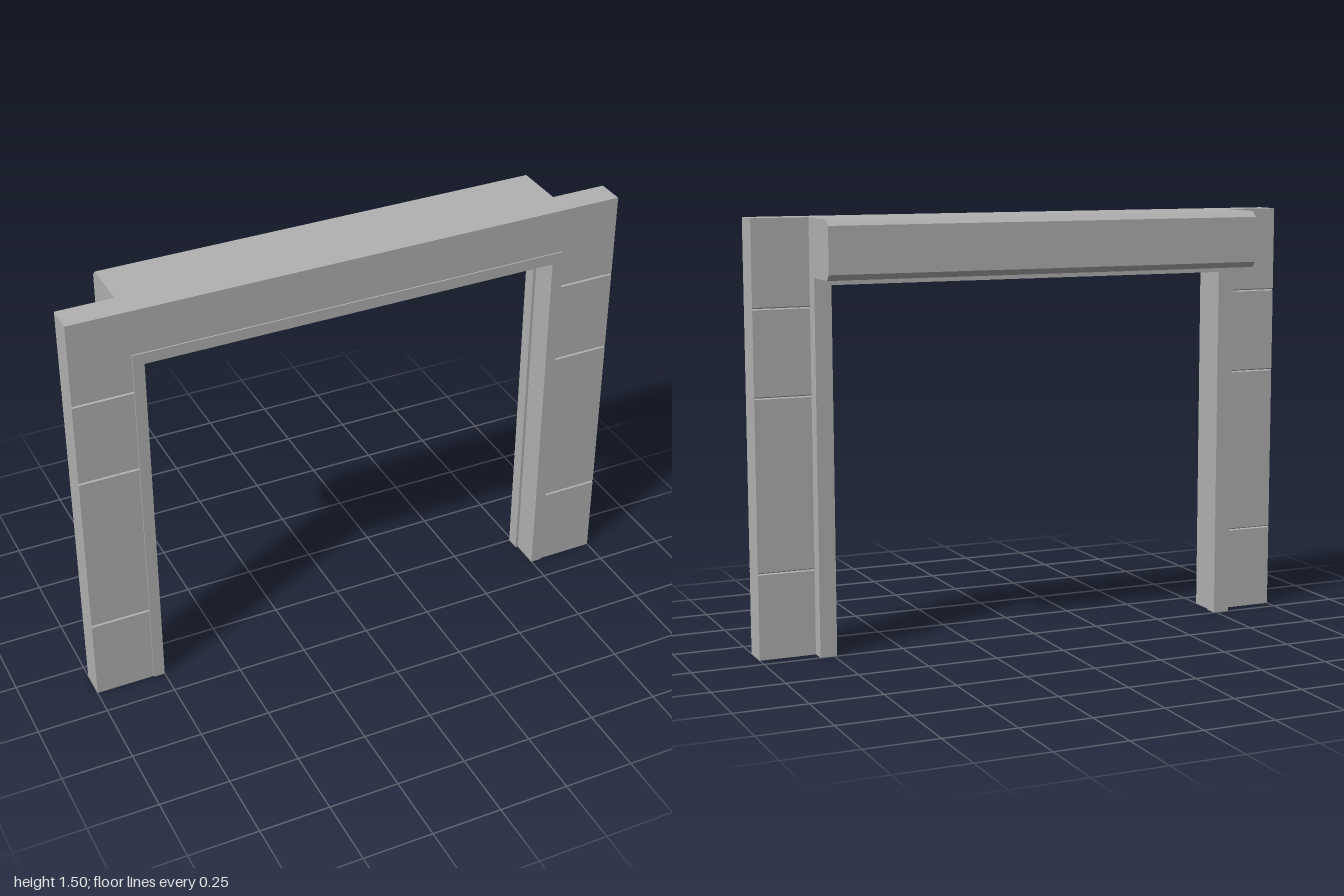
import * as THREE from 'three';

const concrete = new THREE.MeshStandardMaterial({ color: 0xb2b2b2 });
concrete.name = 'plain grey';

const OUTER = 1, OPENING = 0.75, TOP = 1.5, SOFFIT = 1.3;
const FRONT = 0.15, BACK = 0.05;

// Box given by its limits on each axis
function box(name, x0, x1, y0, y1, z0, z1) {
  const geo = new THREE.BoxGeometry(x1 - x0, y1 - y0, z1 - z0);
  geo.translate((x0 + x1) / 2, (y0 + y1) / 2, (z0 + z1) / 2);
  const mesh = new THREE.Mesh(geo, concrete);
  mesh.name = name;
  return mesh;
}

// Cross-section of [z, y] points swept along x
function sweepX(name, points, x0, x1) {
  const shape = new THREE.Shape(points.map(([z, y]) => new THREE.Vector2(-z, y)));
  const geo = new THREE.ExtrudeGeometry(shape, { depth: x1 - x0, bevelEnabled: false });
  geo.rotateY(Math.PI / 2).translate(x0, 0, 0);
  const mesh = new THREE.Mesh(geo, concrete);
  mesh.name = name;
  return mesh;
}

// Post section with small V joints on the front and back faces
function postSection() {
  const joints = [0.3, 0.9, 1.2], half = 0.004, depth = 0.005;
  const front = [[FRONT, 0]], back = [[BACK, 0]];
  for (const y of joints) {
    front.push([FRONT, y - half], [FRONT - depth, y], [FRONT, y + half]);
    back.push([BACK, y - half], [BACK + depth, y], [BACK, y + half]);
  }
  front.push([FRONT, SOFFIT]);
  back.push([BACK, SOFFIT]);
  return [...front, ...back.reverse()];
}

export function createModel() {
  const group = new THREE.Group();
  group.name = 'doorSurround';

  // Posts, guide rails and face trim on both sides
  for (const [side, s] of [['left', 1], ['right', -1]]) {
    const span = (a, b) => (s > 0 ? [a, b] : [-b, -a]);
    group.add(sweepX(side + 'Post', postSection(), ...span(OPENING, OUTER)));
    group.add(box(side + 'GuideRail', ...span(0.74, 0.8), 0, SOFFIT, 0, BACK));
    group.add(box(side + 'Trim', ...span(OPENING, 0.79), 0, 1.34, FRONT, 0.155));
  }

  // Header across the top, with its trim and rear lintel strip
  group.add(box('header', -OUTER, OUTER, SOFFIT, TOP, BACK, FRONT));
  group.add(box('headerTrim', -OPENING, OPENING, SOFFIT, 1.34, FRONT, 0.155));
  group.add(box('lintelStrip', -0.74, 0.74, 1.275, SOFFIT, 0, BACK));

  // Roller housing behind the header, chamfered on its rear edges
  const rear = -0.155, c = 0.02;
  group.add(sweepX('rollerHousing', [
    [BACK, SOFFIT], [rear + c, SOFFIT], [rear, SOFFIT + c],
    [rear, TOP - c], [rear + c, TOP], [BACK, TOP],
  ], -0.8, 0.8));

  return group;
}
